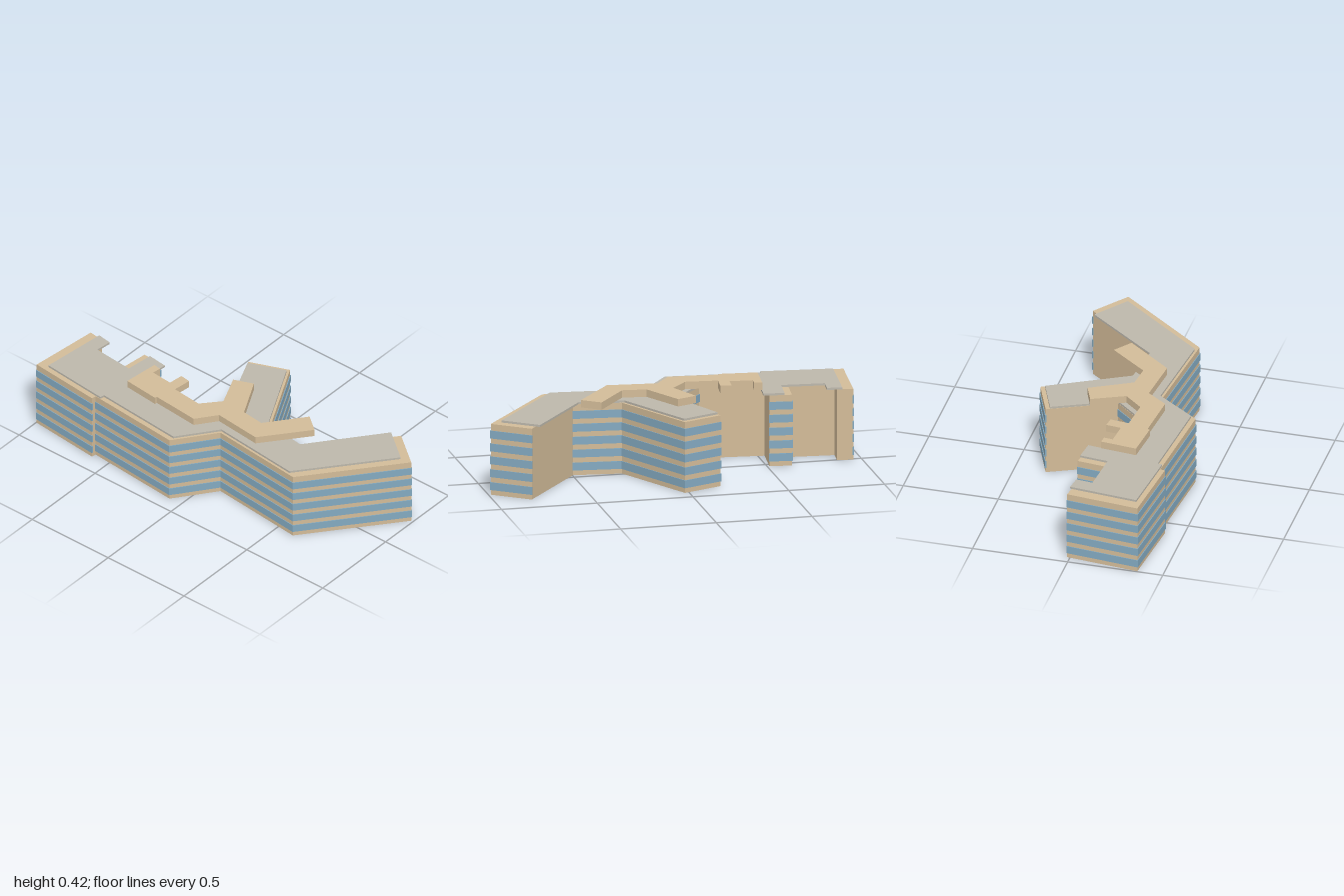
import * as THREE from 'three';

const wall = new THREE.MeshStandardMaterial({ name: 'sandstone', color: 0xd2bb98 });
const glass = new THREE.MeshStandardMaterial({ name: 'blueGlass', color: 0x83a9c0 });
const roof = new THREE.MeshStandardMaterial({ name: 'greyRoof', color: 0xbcb7ab });

// Floor plan corners [x, z, wall to the next corner has window bands]
const plan = [
  [-0.365, -0.996, 1], [0.015, -0.955, 0], [0.003, -0.872, 0], [-0.09, -0.883, 0],
  [-0.11, -0.645, 1], [0.048, -0.627, 1], [0.034, -0.512, 0], [-0.163, -0.535, 0],
  [-0.195, -0.2, 1], [-0.003, -0.03, 0], [0.337, -0.183, 1], [0.42, 0.022, 1],
  [-0.01, 0.248, 1], [-0.037, 0.497, 0], [0.357, 0.807, 1], [0.219, 0.988, 1],
  [-0.259, 0.604, 1], [-0.208, 0.085, 1], [-0.422, -0.074, 1], [-0.378, -0.597, 0],
  [-0.403, -0.6, 1],
];

// Extrudes the floor plan, scaled and shifted, between two heights
function slab(name, material, scale, dx, dz, y0, y1) {
  const shape = new THREE.Shape(
    plan.map(([x, z]) => new THREE.Vector2(x * scale + dx, -(z * scale + dz))));
  const geo = new THREE.ExtrudeGeometry(shape, { depth: y1 - y0, bevelEnabled: false });
  geo.rotateX(-Math.PI / 2);
  geo.translate(0, y0, 0);
  const mesh = new THREE.Mesh(geo, material);
  mesh.name = name;
  return mesh;
}

export function createModel() {
  const group = new THREE.Group();
  group.name = 'officeBuilding';

  // Body, roof deck and rooftop storey share one plan
  group.add(slab('mainBody', wall, 1, 0, 0, 0, 0.373));
  group.add(slab('roofDeck', roof, 0.94, 0, 0, 0.373, 0.384));
  group.add(slab('penthouse', wall, 0.5, -0.045, -0.015, 0.384, 0.423));

  // Five storeys of window bands, slightly proud of each glazed wall
  const bands = new THREE.Group();
  bands.name = 'windowBands';
  plan.forEach(([x, z, glazed], i) => {
    if (!glazed) return;
    const [x2, z2] = plan[(i + 1) % plan.length];
    const length = Math.hypot(x2 - x, z2 - z) + 0.005;
    for (let floor = 0; floor < 5; floor++) {
      const band = new THREE.Mesh(new THREE.BoxGeometry(length, 0.041, 0.008), glass);
      band.name = 'windowBand';
      band.position.set((x + x2) / 2, 0.046 + floor * 0.068, (z + z2) / 2);
      band.rotation.y = Math.atan2(z - z2, x2 - x);
      bands.add(band);
    }
  });
  group.add(bands);
  return group;
}
